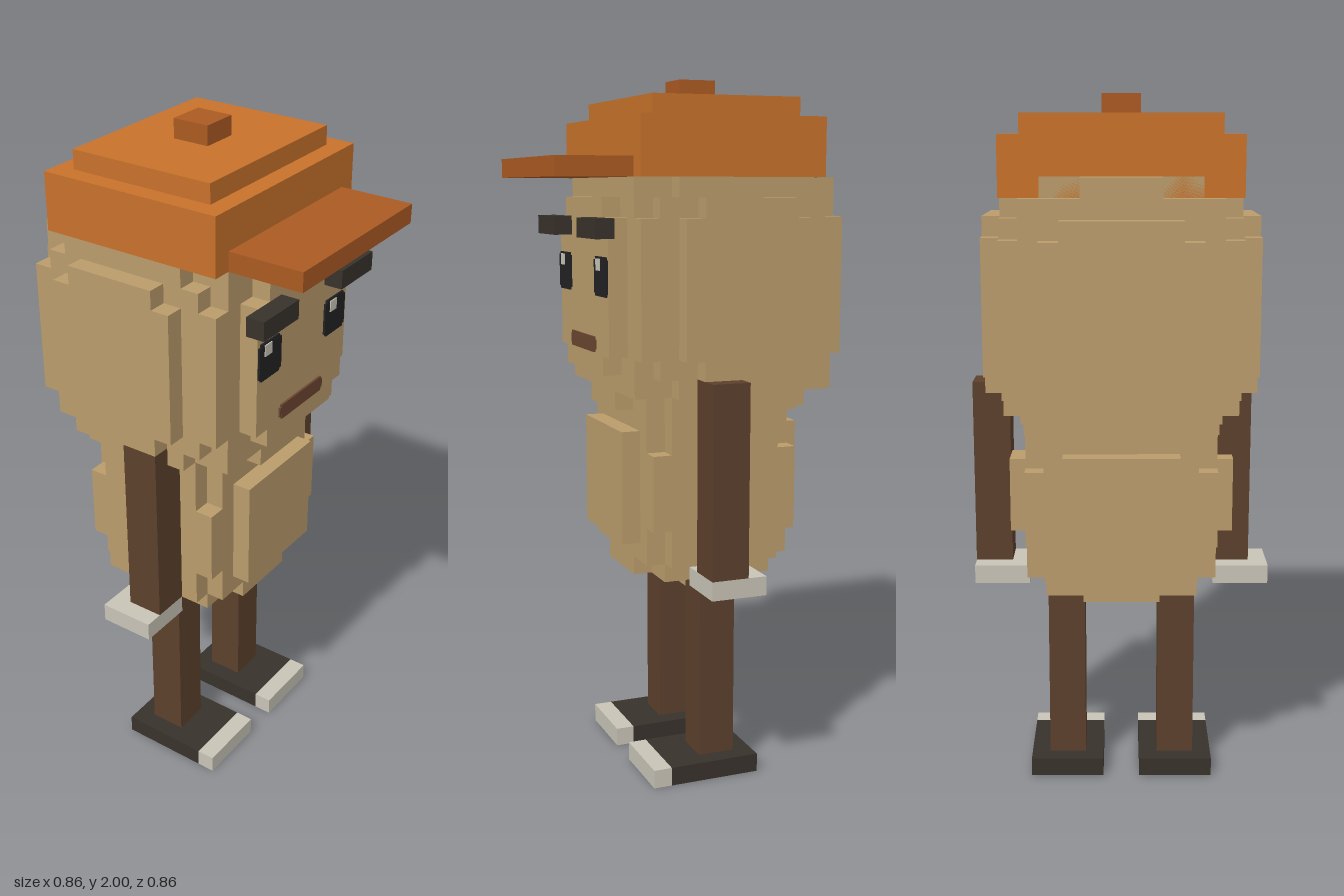
import * as THREE from 'three';
import { mergeGeometries } from 'three/addons/utils/BufferGeometryUtils.js';

const V = 2 / 37; // edge of one block

const mat = (name, color) => {
  const m = new THREE.MeshStandardMaterial({ color });
  m.name = name;
  return m;
};

// Fills a rounded blob with blocks and keeps only the exposed faces
function blockGeometry(inside, min, max) {
  const faces = [];
  const dirs = [[1, 0, 0], [-1, 0, 0], [0, 1, 0], [0, -1, 0], [0, 0, 1], [0, 0, -1]]
    .map((d) => new THREE.Vector3(...d));
  const forward = new THREE.Vector3(0, 0, 1);
  for (let x = min[0]; x < max[0]; x++)
    for (let y = min[1]; y < max[1]; y++)
      for (let z = min[2]; z < max[2]; z++) {
        const c = new THREE.Vector3(x + 0.5, y + 0.5, z + 0.5);
        if (!inside(c)) continue;
        for (const d of dirs) {
          if (inside(c.clone().add(d))) continue;
          const p = c.clone().addScaledVector(d, 0.5).multiplyScalar(V);
          const turn = d.z === -1
            ? new THREE.Quaternion(0, 1, 0, 0)
            : new THREE.Quaternion().setFromUnitVectors(forward, d);
          faces.push(new THREE.PlaneGeometry(V, V).applyQuaternion(turn).translate(p.x, p.y, p.z));
        }
      }
  return mergeGeometries(faces);
}

export function createModel() {
  const tan = mat('tan skin', 0xba9c6b);
  const orange = mat('orange cap', 0xc8722b);
  const rust = mat('rust trim', 0xab5a22);
  const brown = mat('brown limbs', 0x5c402c);
  const pale = mat('pale grey', 0xc8c4b7);
  const dark = mat('dark sole', 0x38322b);
  const black = mat('eye black', 0x222224);
  const lip = mat('mouth brown', 0x6b4631);

  const model = new THREE.Group();
  model.name = 'blockFigure';

  // Box given by its limits in blocks
  const box = (name, m, x0, x1, y0, y1, z0, z1) => {
    const g = new THREE.BoxGeometry((x1 - x0) * V, (y1 - y0) * V, (z1 - z0) * V);
    const mesh = new THREE.Mesh(g, m);
    mesh.name = name;
    mesh.position.set((x0 + x1) * V / 2, (y0 + y1) * V / 2, (z0 + z1) * V / 2);
    model.add(mesh);
  };

  // Head and body: two overlapping rounded blobs
  const cube = (n) => Math.abs(n) ** 3;
  const head = (p) => cube(p.x) + 0.85 * cube(p.y - 26.5) + 1.2 * cube(p.z + 1.5) <= 348;
  const body = (p) => cube(p.x) + cube(p.y - 16) + 1.5 * cube(p.z + 1) <= 171;
  const torso = new THREE.Mesh(
    blockGeometry((p) => head(p) || body(p), [-9, 8, -10], [9, 36, 8]), tan);
  torso.name = 'headAndBody';
  model.add(torso);

  // Cap
  box('capBand', orange, -6, 6, 32, 35, -6, 4);
  box('capCrown', orange, -5, 5, 35, 36, -5, 3);
  box('capButton', rust, -1, 1, 36, 37, -2, 0);
  box('capBrim', rust, -5, 5, 32, 33, 4, 8);

  // Face
  for (const [side, s] of [['left', 1], ['right', -1]]) {
    const c = s * 3;
    box(side + 'Brow', dark, c - (s > 0 ? 1 : 2), c + (s > 0 ? 2 : 1), 29, 30, 5, 6);
    box(side + 'EyeMiddle', black, c - 0.95, c + 0.95, 26.2, 27.9, 5, 5.12);
    box(side + 'EyeEdge', black, c - 0.8, c + 0.8, 26.05, 28.05, 5, 5.11);
    box(side + 'EyeGlint', pale, c - 0.55, c + 0.05, 27.35, 27.95, 5, 5.17);
  }
  box('mouthMiddle', lip, -1.85, 1.85, 23.1, 23.9, 5, 5.12);
  box('mouthEdge', lip, -2, 2, 23.25, 23.75, 5, 5.11);

  // Arms and hands
  box('rightArm', brown, -7, -5, 12, 22, -1, 1);
  box('leftArm', brown, 6, 8, 12, 22, -1, 1);
  box('rightHand', pale, -8, -5, 11, 12, -2, 1);
  box('leftHand', pale, 5, 8, 11, 12, -2, 1);

  // Legs and shoes
  for (const [side, c] of [['left', 3], ['right', -3]]) {
    box(side + 'Leg', brown, c - 1, c + 1, 1, 11, -2, 0);
    box(side + 'Shoe', dark, c - 2, c + 2, 0, 1, -3, 2);
    box(side + 'ShoeToe', pale, c - 2, c + 2, 0, 1, 2, 3);
  }
  return model;
}
